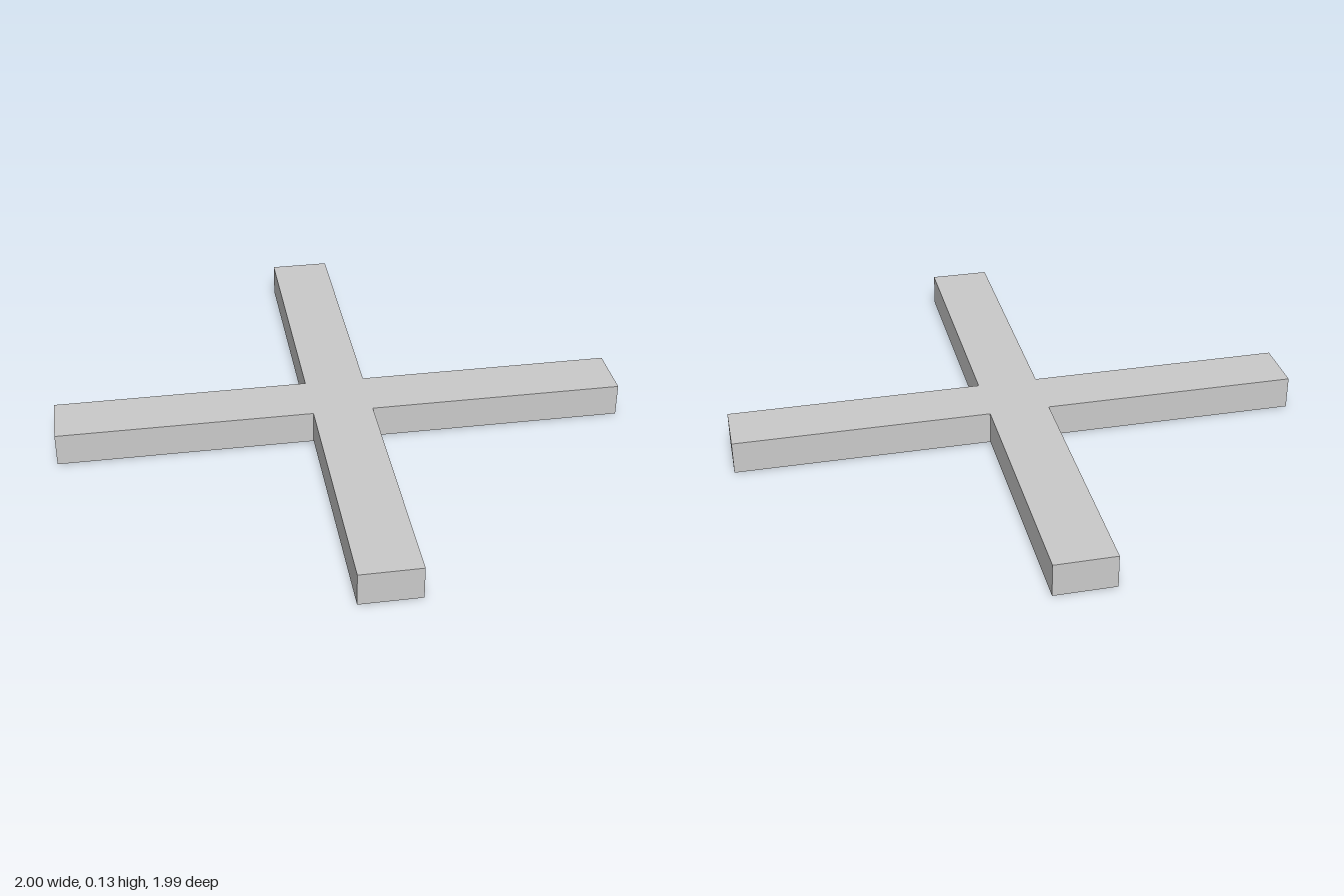
import * as THREE from 'three';

export function createModel() {
  const group = new THREE.Group();
  group.name = 'crossBase';

  const reach = 1.14;   // half length of both beams
  const a = 0.12;       // half width of the beam along local x
  const b = 0.114;      // half width of the beam along local z
  const height = 0.132;

  // Plus-shaped outline, so the beams meet without overlapping faces
  const quarter = [[reach, a], [b, a], [b, reach]];
  const outline = [
    ...quarter,
    ...quarter.map(([x, y]) => [-x, y]).reverse(),
    ...quarter.map(([x, y]) => [-x, -y]),
    ...quarter.map(([x, y]) => [x, -y]).reverse(),
  ].map(([x, y]) => new THREE.Vector2(x, y));

  const geometry = new THREE.ExtrudeGeometry(new THREE.Shape(outline), {
    depth: height,
    bevelEnabled: false,
  });
  geometry.rotateX(-Math.PI / 2);

  // Crossed beams, turned about the vertical axis
  const beams = new THREE.Mesh(
    geometry,
    new THREE.MeshStandardMaterial({ color: 0xcccccc, flatShading: true })
  );
  beams.name = 'crossedBeams';
  beams.rotation.y = -THREE.MathUtils.degToRad(35.3);
  group.add(beams);

  return group;
}
